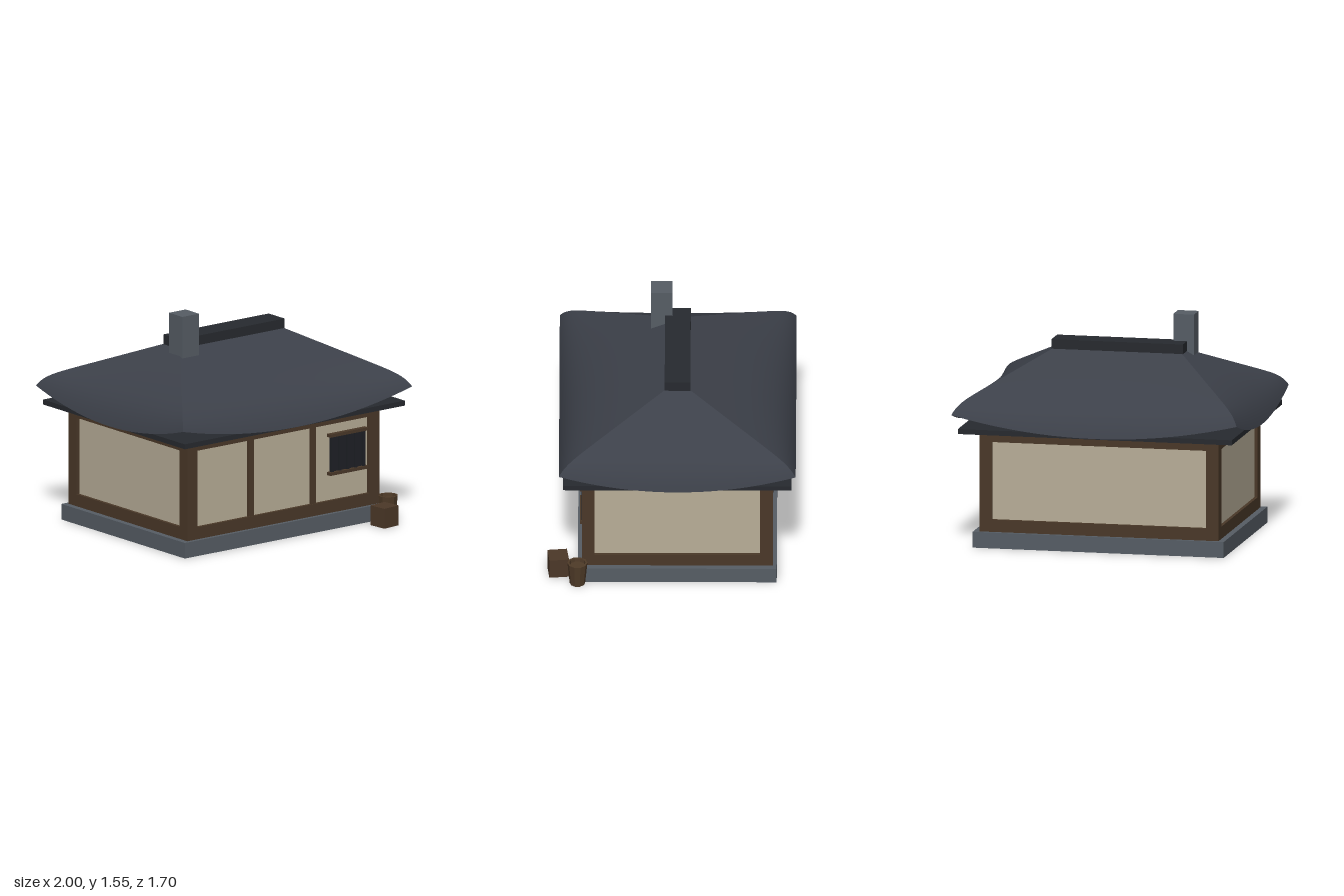
import * as THREE from 'three';

const mat = (color, extra = {}) => new THREE.MeshStandardMaterial({ color, ...extra });

export function createModel() {
  const wood = mat(0x4a3828);
  const plaster = mat(0xb8ae98);
  const stone = mat(0x565d65);
  const dark = mat(0x272a2f);
  const tile = mat(0x3c4049, { side: THREE.DoubleSide });
  const bars = mat(0x1e2026);
  const crateWood = mat(0x4c3828);
  const staveWood = mat(0x4f3b28, { flatShading: true, side: THREE.DoubleSide });

  const model = new THREE.Group();
  model.name = 'house';

  // The house sits slightly behind the origin; the crate and bucket stand in front
  const house = new THREE.Group();
  house.name = 'building';
  house.position.z = -0.04;
  model.add(house);

  const add = (parent, name, geometry, material) => {
    const mesh = new THREE.Mesh(geometry, material);
    mesh.name = name;
    parent.add(mesh);
    return mesh;
  };
  // Box given by its lower and upper bounds on each axis
  const box = (name, material, [x0, x1], [y0, y1], [z0, z1], parent = house) => {
    const mesh = add(parent, name, new THREE.BoxGeometry(x1 - x0, y1 - y0, z1 - z0), material);
    mesh.position.set((x0 + x1) / 2, (y0 + y1) / 2, (z0 + z1) / 2);
    return mesh;
  };

  // Foundation and plaster core
  box('foundation', stone, [-0.88, 0.88], [0, 0.11], [-0.68, 0.68]);
  box('plasterWalls', plaster, [-0.815, 0.815], [0.11, 0.81], [-0.63, 0.63]);

  // Timber frame: corner posts, sills and top beams
  const W = 0.838, D = 0.653, P = 0.088;
  for (const sx of [-1, 1]) {
    for (const sz of [-1, 1]) {
      const post = box('cornerPost', wood, [W - P, W], [0.11, 0.81], [D - P, D]);
      post.position.x *= sx;
      post.position.z *= sz;
    }
  }
  for (const [name, y0, y1] of [['sill', 0.11, 0.195], ['topBeam', 0.735, 0.81]]) {
    for (const s of [-1, 1]) {
      box(name, wood, [-W + P, W - P], [y0, y1], [D - P, D]).position.z *= s;
      box(name, wood, [W - P, W], [y0, y1], [-D + P, D - P]).position.x *= s;
    }
  }
  for (const x of [-0.275, 0.267]) {
    box('frontPost', wood, [x - 0.022, x + 0.022], [0.195, 0.735], [0.6, D - 0.004]);
  }

  // Barred window
  const win = new THREE.Group();
  win.name = 'window';
  house.add(win);
  box('windowOpening', bars, [0.42, 0.71], [0.395, 0.645], [0.62, 0.642], win);
  for (let i = 0; i < 5; i++) {
    const x = 0.428 + i * 0.0685;
    box('windowBar', bars, [x - 0.01, x + 0.01], [0.395, 0.645], [0.64, 0.657], win);
  }
  for (const y of [0.385, 0.655]) {
    box('windowRail', wood, [0.4, 0.73], [y - 0.011, y + 0.011], [0.62, 0.666], win);
  }

  // Eave slab under the roof
  box('eaveSlab', dark, [-0.96, 0.96], [0.805, 0.84], [-0.78, 0.78]);

  // Curved hipped roof: rounded toward the eaves, with eaves that rise to the corners
  const roofHeight = (u, v) =>
    1.33 - 0.335 * v - 0.055 * v ** 18 - 0.125 * (1 - u * u) * v ** 6;
  const roofPanel = (ridgeHalf, eaveHalf, inner, outer) => {
    const geometry = new THREE.PlaneGeometry(2, 1, 20, 18);
    const pos = geometry.attributes.position;
    for (let i = 0; i < pos.count; i++) {
      const u = pos.getX(i);
      const v = 1 - (pos.getY(i) + 0.5) ** 2;
      pos.setXYZ(i,
        u * THREE.MathUtils.lerp(ridgeHalf, eaveHalf, v),
        roofHeight(u, v),
        THREE.MathUtils.lerp(inner, outer, v));
    }
    geometry.computeVertexNormals();
    return geometry;
  };
  const longPanel = roofPanel(0.39, 1, 0, 0.81);
  const endPanel = roofPanel(0, 0.81, 0.39, 1);
  for (let i = 0; i < 4; i++) {
    const panel = add(house, 'roofPanel', i % 2 ? endPanel : longPanel, tile);
    panel.rotation.y = i * Math.PI / 2;
  }

  // Ridge cap and chimney
  box('ridgeCap', dark, [-0.46, 0.46], [1.29, 1.36], [-0.088, 0.088]);
  box('chimney', stone, [-0.51, -0.365], [1.2, 1.547], [0.038, 0.185]);

  // Crate, turned slightly
  const crate = add(model, 'crate', new THREE.BoxGeometry(0.135, 0.14, 0.135), crateWood);
  crate.position.set(0.755, 0.07, 0.775);
  crate.rotation.y = 0.11;

  // Open wooden bucket
  const profile = [[0, 0], [0.053, 0], [0.069, 0.165], [0.056, 0.165], [0.053, 0.14], [0, 0.14]]
    .map(([r, y]) => new THREE.Vector2(r, y));
  const bucket = add(model, 'bucket', new THREE.LatheGeometry(profile, 10), staveWood);
  bucket.position.set(0.89, 0, 0.643);

  return model;
}
